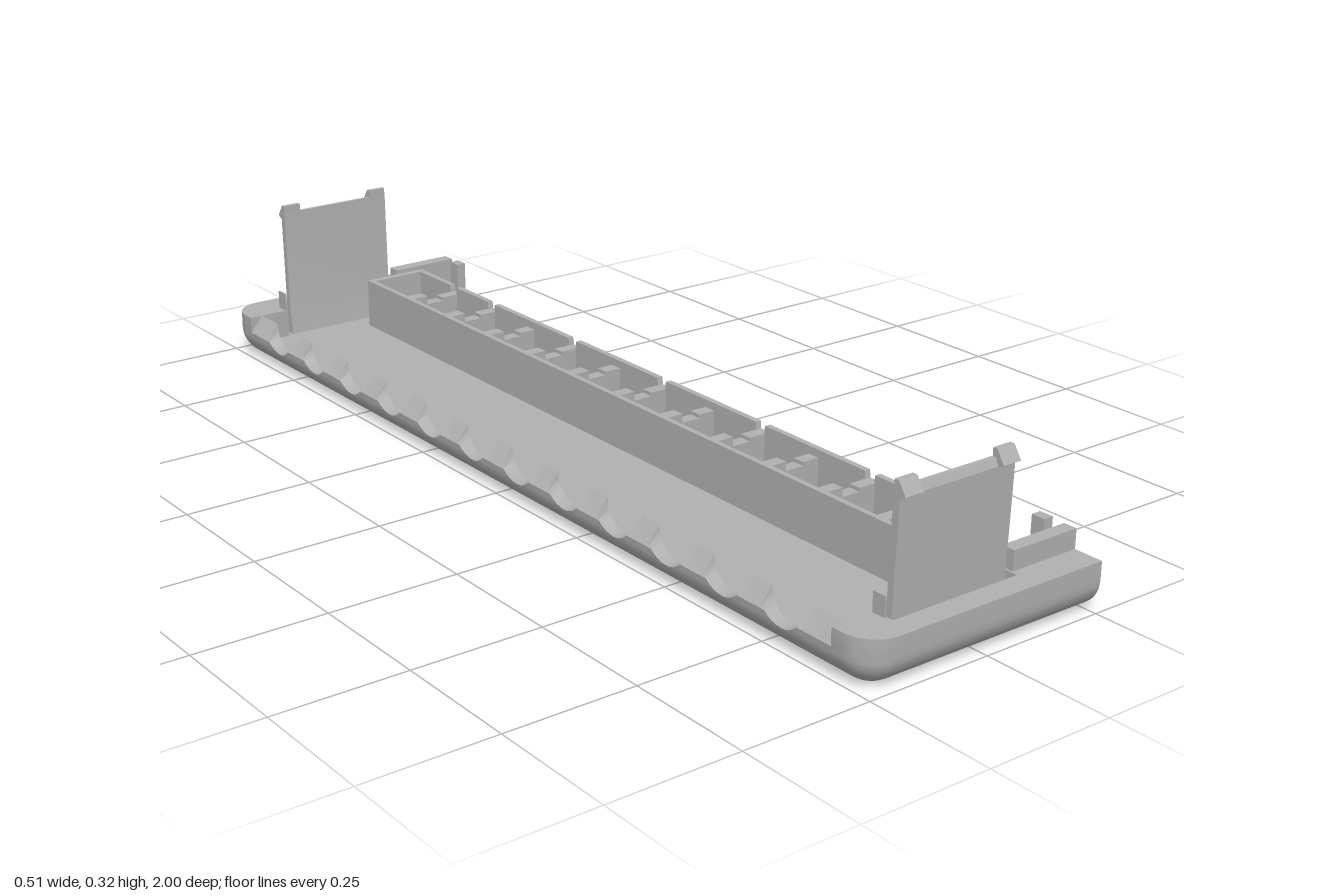
import * as THREE from 'three';
import { toCreasedNormals } from 'three/addons/utils/BufferGeometryUtils.js';

const R = 0.06, X = 0.255, FLOOR = 0.035, RIM = 0.093, END = 0.915, TOP = 0.137;
const PITCH = 0.145, CELLS = 12;
const V = (x, y) => new THREE.Vector2(x, y);

// Skin a stack of counter-clockwise sections {pts, h} and cap both ends
function loft(sections, map) {
  const pos = [], n = sections[0].pts.length;
  const put = (s, j) => pos.push(...map(s.pts[j % n].x, s.pts[j % n].y, s.h));
  for (let i = 0; i + 1 < sections.length; i++) {
    const a = sections[i], b = sections[i + 1];
    for (let j = 0; j < n; j++) {
      put(a, j); put(a, j + 1); put(b, j + 1);
      put(a, j); put(b, j + 1); put(b, j);
    }
  }
  const first = sections[0], last = sections[sections.length - 1];
  for (const [p, q, r] of THREE.ShapeUtils.triangulateShape(first.pts, [])) { put(first, p); put(first, r); put(first, q); }
  for (const [p, q, r] of THREE.ShapeUtils.triangulateShape(last.pts, [])) { put(last, p); put(last, q); put(last, r); }
  const g = new THREE.BufferGeometry();
  g.setAttribute('position', new THREE.Float32BufferAttribute(pos, 3));
  return toCreasedNormals(g, 0.6);
}

// Copy of a geometry reflected in z, with its winding restored
function mirrorZ(geo) {
  const src = geo.index ? geo.toNonIndexed() : geo, p = src.attributes.position, pos = [];
  for (let i = 0; i < p.count; i += 3)
    for (const k of [i, i + 2, i + 1]) pos.push(p.getX(k), p.getY(k), -p.getZ(k));
  const g = new THREE.BufferGeometry();
  g.setAttribute('position', new THREE.Float32BufferAttribute(pos, 3));
  return toCreasedNormals(g, 0.6);
}

// Box from its limits
function box(x0, x1, y0, y1, z0, z1) {
  return new THREE.BoxGeometry(x1 - x0, y1 - y0, z1 - z0)
    .translate((x0 + x1) / 2, (y0 + y1) / 2, (z0 + z1) / 2);
}

// Outline in (z, y), extruded from x0 to x1
function sideExtrude(points, x0, x1) {
  const shape = new THREE.Shape(points.map(([z, y]) => V(z, y)));
  return new THREE.ExtrudeGeometry(shape, { depth: x1 - x0, bevelEnabled: false })
    .rotateY(-Math.PI / 2).translate(x1, 0, 0);
}

export function createModel() {
  const model = new THREE.Group();
  const grey = new THREE.MeshStandardMaterial({ color: 0xb0b0b0 });
  grey.name = 'plain grey';
  const add = (name, geo) => {
    const m = new THREE.Mesh(geo, grey);
    m.name = name;
    model.add(m);
  };
  const addBoth = (name, geo) => { add(name + 'Front', geo); add(name + 'Back', mirrorZ(geo)); };
  const centre = i => (i - (CELLS - 1) / 2) * PITCH;

  // End walls with rounded corners, rounded underside and a pocket for the clip
  const ring = (d, y, notch) => {
    const pts = [V(X, END), V(X, 1 - d)];
    for (let k = 0; k <= 8; k++) {
      const a = Math.PI / 2 * (1 + k / 8);
      pts.push(V(-X + R + (R - d) * Math.cos(a), 1 - R + (R - d) * Math.sin(a)));
    }
    pts.push(V(-X + d, END), V(-0.165, END), V(-0.165, notch), V(0.105, notch), V(0.105, END));
    return { pts, h: y };
  };
  const inset = y => y >= R ? 0 : R - Math.sqrt(R * R - (R - y) ** 2);
  const rings = [];
  for (let k = 0; k <= 10; k++) {
    const y = R * (1 - Math.cos(Math.PI / 2 * k / 10));
    if (y < FLOOR) rings.push(ring(Math.min(inset(y), R - 0.0005), y, END));
  }
  rings.push(ring(inset(FLOOR), FLOOR, END));
  for (const y of [FLOOR, 0.042, 0.05, R, RIM]) rings.push(ring(inset(y), y, 0.955));
  const endWall = loft(rings, (u, v, h) => [u, h, -v]);
  add('endWallBack', endWall);
  add('endWallFront', mirrorZ(endWall));

  // Long side wall with a row of half-round scallops
  const wallSection = (z, h) => {
    const pts = [V(-X + R, FLOOR), V(-0.228, FLOOR), V(-0.228, h)];
    for (let k = 10; k >= 0; k--) {
      const y = Math.min(h, R * (1 - Math.cos(Math.PI / 2 * k / 10)));
      pts.push(V(-X + inset(y), y));
    }
    return { pts, h: z };
  };
  const sections = [wallSection(-END, RIM)];
  for (let i = 0; i < CELLS; i++) {
    sections.push(wallSection(centre(i) - 0.0501, RIM));
    for (let k = 0; k <= 14; k++) {
      const a = Math.PI * k / 14;
      sections.push(wallSection(centre(i) - 0.05 * Math.cos(a), RIM - 0.05 * Math.sin(a)));
    }
    sections.push(wallSection(centre(i) + 0.0501, RIM));
  }
  sections.push(wallSection(END, RIM));
  add('scallopedWall', loft(sections, (u, v, h) => [u, v, h]));

  // Floor pierced by a row of square windows
  const rect = (Type, x0, x1, z0, z1) => new Type([V(x0, z0), V(x1, z0), V(x1, z1), V(x0, z1)]);
  const floor = rect(THREE.Shape, -X + R, X, -END, END);
  for (let i = 0; i < CELLS; i++)
    floor.holes.push(rect(THREE.Path, 0.021, 0.135, centre(i) - 0.06, centre(i) + 0.06));
  add('floor', new THREE.ExtrudeGeometry(floor, { depth: FLOOR, bevelEnabled: false }).rotateX(-Math.PI / 2));

  // Raised frame around the windows; the outer wall has small notches on top
  const L = 0.872;
  add('frameInnerWall', box(0.01, 0.021, FLOOR, TOP, -L, L));
  addBoth('frameEnd', box(0.021, 0.135, FLOOR, TOP, 0.8575, L));
  const outline = [[-L, FLOOR], [L, FLOOR], [L, TOP]];
  for (const z of [0.58, 0.29, 0, -0.29, -0.58, -0.725])
    outline.push([z + 0.013, TOP], [z + 0.011, TOP - 0.015], [z - 0.011, TOP - 0.015], [z - 0.013, TOP]);
  outline.push([-L, TOP]);
  add('frameOuterWall', sideExtrude(outline, 0.135, 0.147));

  // Dividers between the cells, stepped down in the middle
  for (let i = 0; i + 1 < CELLS; i++) {
    const z = centre(i) + PITCH / 2;
    add('divider', box(0.021, 0.135, FLOOR, TOP - 0.022, z - 0.0125, z + 0.0125));
    add('dividerShoulder', box(0.021, 0.06, TOP - 0.022, TOP - 0.004, z - 0.0125, z + 0.0125));
    add('dividerShoulder', box(0.1, 0.135, TOP - 0.022, TOP - 0.015, z - 0.0125, z + 0.0125));
  }

  // Lips and corner posts that form a slot at the open side
  addBoth('endLip', box(0.11, X, FLOOR, 0.13, END, 0.942));
  addBoth('cornerPost', box(0.235, X, FLOOR, 0.133, 0.862, 0.89));
  addBoth('pocketFin', box(-0.171, -0.168, FLOOR, 0.13, END, 0.942));

  // Upright clips with a pair of outward hooks
  addBoth('clipPlate', sideExtrude([[0.918, FLOOR], [0.938, FLOOR], [0.945, 0.288],
    [0.939, 0.302], [0.931, 0.302], [0.927, 0.1]], -0.153, 0.095));
  for (const x of [-0.153, 0.057])
    addBoth('clipHook', sideExtrude([[0.932, 0.285], [0.944, 0.285], [0.957, 0.293],
      [0.941, 0.317], [0.932, 0.317]], x, x + 0.038));

  return model;
}
